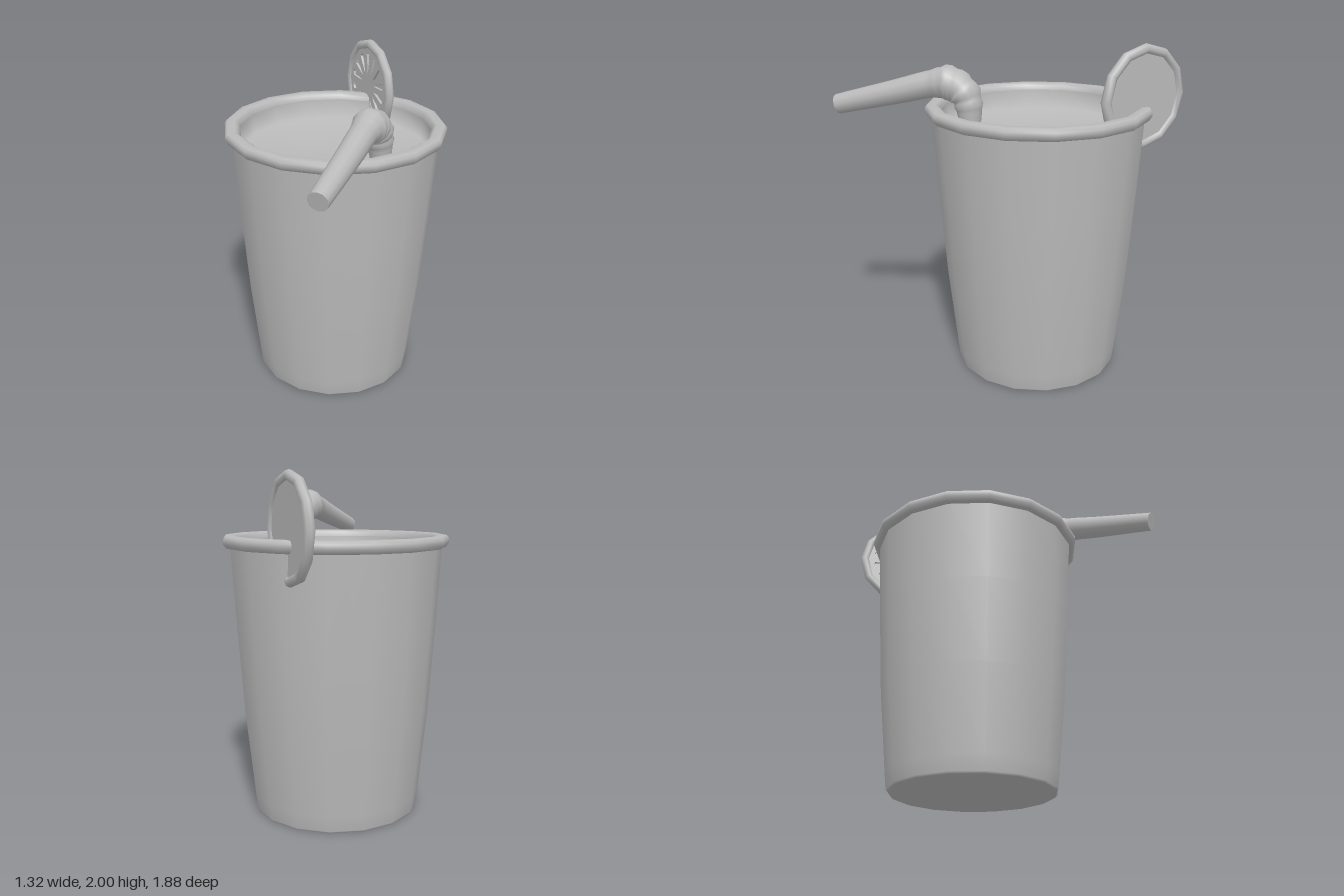
import * as THREE from 'three';
import { mergeVertices } from 'three/addons/utils/BufferGeometryUtils.js';

const grey = new THREE.MeshStandardMaterial({ color: 0xbababa });
grey.name = 'plain grey';

function add(parent, name, geometry) {
  const mesh = new THREE.Mesh(geometry, grey);
  mesh.name = name;
  parent.add(mesh);
  return mesh;
}

// Sixteen-sided turned part from [radius, height] pairs
const lathe = (profile) =>
  new THREE.LatheGeometry(profile.map(([r, y]) => new THREE.Vector2(r, y)), 16);

// Linear interpolation in a list of [t, value] stops
function stops(list, t) {
  for (let i = 1; i < list.length; i++) {
    const [t0, v0] = list[i - 1], [t1, v1] = list[i];
    if (t <= t1) return THREE.MathUtils.mapLinear(t, t0, t1, v0, v1);
  }
  return list[list.length - 1][1];
}

function makeCup() {
  const cup = new THREE.Group();
  cup.name = 'cup';
  add(cup, 'cupBody', lathe([[0, 0], [0.485, 0], [0.495, 0.012], [0.505, 0.1], [0.557, 0.6], [0.592, 1.1], [0.622, 1.59]]));
  add(cup, 'rim', lathe([[0.62, 1.572], [0.645, 1.576], [0.662, 1.6], [0.662, 1.625], [0.648, 1.643],
    [0.6, 1.645], [0.578, 1.63], [0.572, 1.6]]));
  // Inner wall running down into the drink surface
  add(cup, 'innerWallAndDrink', lathe([[0.572, 1.605], [0.56, 1.485], [0, 1.485]]));
  cup.position.z = -0.13;
  return cup;
}

function makeStraw() {
  const straw = new THREE.Group();
  straw.name = 'straw';
  const path = new THREE.CatmullRomCurve3([
    [0.42, 1.3, 0.17], [0.41, 1.6, 0.145], [0.4, 1.75, 0.175], [0.395, 1.805, 0.26],
    [0.4, 1.8, 0.35], [0.413, 1.746, 0.57], [0.43, 1.657, 0.935],
  ].map((p) => new THREE.Vector3(...p)));
  const radii = [[0, 0.055], [0.24, 0.06], [0.36, 0.085], [0.45, 0.096], [0.49, 0.088], [0.53, 0.075], [1, 0.056]];
  const rings = 64, sides = 12;
  const geometry = new THREE.TubeGeometry(path, rings, 1, sides);
  const pos = geometry.attributes.position, v = new THREE.Vector3();
  // Scale every ring to its own radius, with ripples on the bend
  for (let i = 0; i <= rings; i++) {
    const t = i / rings, centre = path.getPointAt(t);
    const ripple = t > 0.3 && t < 0.5 ? 0.006 * Math.sin((t - 0.3) * Math.PI * 40) : 0;
    for (let j = 0; j <= sides; j++) {
      const k = i * (sides + 1) + j;
      v.fromBufferAttribute(pos, k).sub(centre).multiplyScalar(stops(radii, t) + ripple).add(centre);
      pos.setXYZ(k, v.x, v.y, v.z);
    }
  }
  geometry.deleteAttribute('uv');
  geometry.deleteAttribute('normal');
  const smooth = mergeVertices(geometry);
  smooth.computeVertexNormals();
  add(straw, 'strawTube', smooth);
  const tip = add(straw, 'strawTip', new THREE.CircleGeometry(0.056, sides));
  tip.position.copy(path.getPointAt(1));
  tip.quaternion.setFromUnitVectors(new THREE.Vector3(0, 0, 1), path.getTangentAt(1));
  return straw;
}

function makeSlice() {
  const slice = new THREE.Group();
  slice.name = 'fruitSlice';
  add(slice, 'peel', new THREE.TorusGeometry(0.272, 0.03, 8, 12));

  // Flesh layer with narrow wedge-shaped cuts
  const flesh = new THREE.Shape().absarc(0, 0, 0.265, 0, Math.PI * 2);
  const polar = (r, a) => new THREE.Vector2(r * Math.cos(a), r * Math.sin(a));
  for (let i = 0; i < 14; i++) {
    const a = Math.PI / 2 + (i / 14) * Math.PI * 2;
    flesh.holes.push(new THREE.Path([polar(0.085, a), polar(0.205, a - 0.11), polar(0.215, a), polar(0.205, a + 0.11)]));
  }
  add(slice, 'flesh', new THREE.ExtrudeGeometry(flesh, { depth: 0.016, bevelEnabled: false, curveSegments: 12 }));
  const back = add(slice, 'fleshBacking', new THREE.CylinderGeometry(0.265, 0.265, 0.014, 12));
  back.rotation.x = Math.PI / 2;
  back.position.z = -0.007;

  slice.position.set(-0.04, 1.7, -0.73);
  slice.rotation.y = -0.69;
  return slice;
}

export function createModel() {
  const model = new THREE.Group();
  model.name = 'drinkCup';
  model.add(makeCup(), makeStraw(), makeSlice());
  return model;
}
